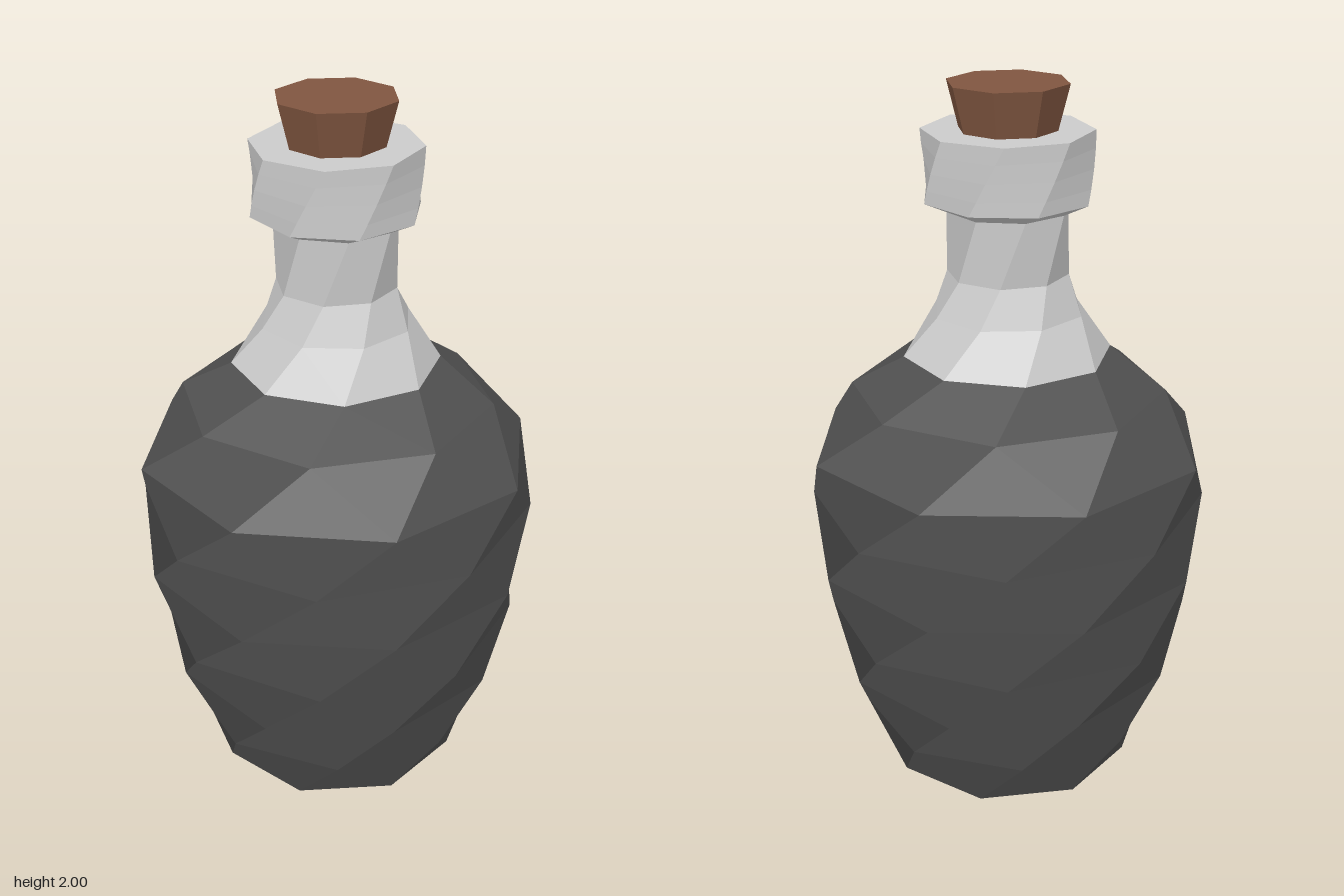
import * as THREE from 'three';

const SIDES = 8;
const TWIST = THREE.MathUtils.degToRad(125.6); // turn per unit of height

// Corners of one octagonal ring, turned according to its height
function ring([radius, y], twist) {
  return Array.from({ length: SIDES }, (_, i) => {
    const a = (i / SIDES) * Math.PI * 2 + y * twist;
    return new THREE.Vector3(radius * Math.sin(a), y, radius * Math.cos(a));
  });
}

// Faceted shell through [radius, y] rings; every four-sided facet has one normal
function shell(name, profile, twist, color, { capBottom = false, capTop = false } = {}) {
  const positions = [], normals = [];
  const face = (normal, ...points) => points.forEach((p) => {
    positions.push(p.x, p.y, p.z);
    normals.push(normal.x, normal.y, normal.z);
  });
  const rings = profile.map((p) => ring(p, twist));
  const normal = new THREE.Vector3(), diagonal = new THREE.Vector3();

  for (let k = 0; k < rings.length - 1; k++) {
    for (let i = 0; i < SIDES; i++) {
      const j = (i + 1) % SIDES;
      const a = rings[k][i], b = rings[k][j], c = rings[k + 1][j], d = rings[k + 1][i];
      diagonal.subVectors(d, b);
      normal.subVectors(c, a).cross(diagonal).normalize();
      face(normal, a, b, d, b, c, d);
    }
  }

  // Flat octagonal ends
  const first = rings[0], last = rings[rings.length - 1];
  for (let i = 1; i < SIDES - 1; i++) {
    if (capBottom) face(new THREE.Vector3(0, -1, 0), first[0], first[i + 1], first[i]);
    if (capTop) face(new THREE.Vector3(0, 1, 0), last[0], last[i], last[i + 1]);
  }

  const geometry = new THREE.BufferGeometry();
  geometry.setAttribute('position', new THREE.Float32BufferAttribute(positions, 3));
  geometry.setAttribute('normal', new THREE.Float32BufferAttribute(normals, 3));
  const mesh = new THREE.Mesh(geometry, new THREE.MeshStandardMaterial({ color }));
  mesh.name = name;
  return mesh;
}

export function createModel() {
  const group = new THREE.Group();
  group.name = 'twistedBottle';

  // Dark lower bottle, up to the shoulder
  group.add(shell('body', [
    [0.355, 0], [0.422, 0.145], [0.474, 0.3], [0.518, 0.46], [0.546, 0.635],
    [0.561, 0.815], [0.562, 0.985], [0.442, 1.145], [0.292, 1.25],
  ], TWIST, 0x505050, { capBottom: true }));

  // Pale neck
  group.add(shell('neck', [
    [0.292, 1.25], [0.213, 1.375], [0.168, 1.48], [0.171, 1.66],
  ], TWIST, 0xcccccc));

  // Thick collar around the mouth
  group.add(shell('lip', [
    [0.171, 1.66], [0.235, 1.69], [0.235, 1.73], [0.235, 1.78], [0.235, 1.83], [0.235, 1.875],
  ], TWIST, 0xcccccc, { capTop: true }));

  // Tapered cork, untwisted
  group.add(shell('cork', [[0.135, 1.87], [0.168, 2]], 0, 0x805640, { capTop: true }));

  return group;
}
